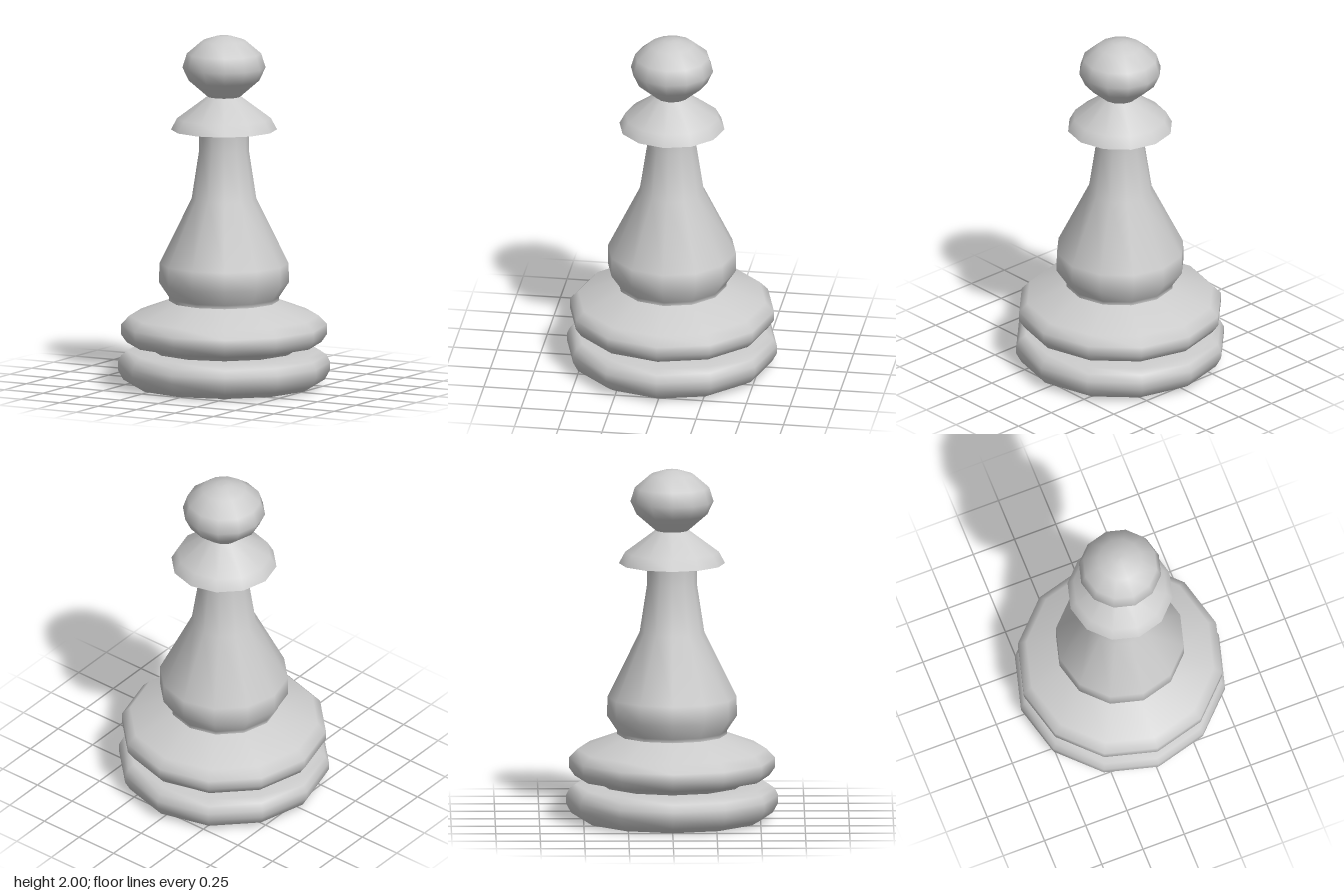
import * as THREE from 'three';

const SIDES = 12;
const material = new THREE.MeshStandardMaterial({ color: 0xcccccc, side: THREE.DoubleSide });

// Turned part from [radius, height] pairs, listed bottom to top
function turned(name, profile) {
  const points = profile.map(([r, y]) => new THREE.Vector2(r, y));
  const mesh = new THREE.Mesh(new THREE.LatheGeometry(points, SIDES), material);
  mesh.name = name;
  return mesh;
}

export function createModel() {
  const group = new THREE.Group();
  group.name = 'pawn';
  group.add(
    // Flat underside
    turned('underside', [[0, 0], [0.52, 0.005]]),
    // Lower foot ring
    turned('lowerRing', [[0.52, 0.005], [0.57, 0.035], [0.6, 0.09], [0.6, 0.135],
      [0.58, 0.175], [0.545, 0.2], [0.41, 0.203]]),
    // Upper foot ring with sloping shoulder
    turned('upperRing', [[0.41, 0.203], [0.45, 0.235], [0.55, 0.248], [0.583, 0.295], [0.583, 0.35],
      [0.535, 0.4], [0.31, 0.485]]),
    // Bulbous body narrowing to the neck
    turned('body', [[0.31, 0.485], [0.31, 0.505], [0.367, 0.59], [0.365, 0.7],
      [0.183, 1.07], [0.14, 1.35], [0.14, 1.45]]),
    // Collar: flat underside and conical top
    turned('collarUnderside', [[0.14, 1.445], [0.3, 1.465]]),
    turned('collar', [[0.3, 1.465], [0.265, 1.53], [0.095, 1.655]]),
    // Round head
    turned('head', [[0.095, 1.655], [0.2, 1.745], [0.235, 1.82], [0.21, 1.9],
      [0.125, 1.972], [0.045, 1.998], [0, 2]])
  );
  return group;
}
